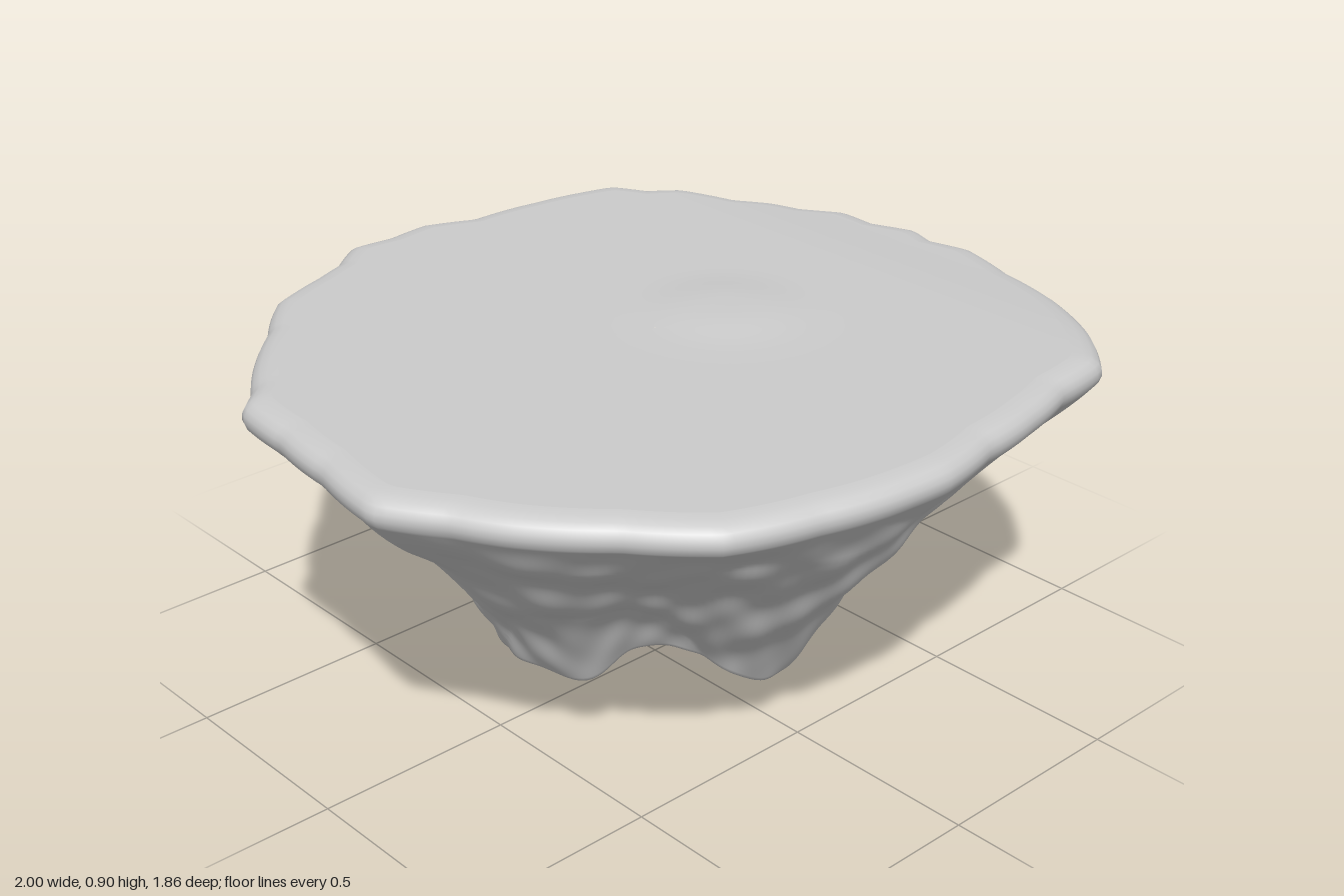
import * as THREE from 'three';

const COLS = 280;
const TAU = Math.PI * 2;

// Plan outline of the rim as x, z pairs, in order of rising angle
const OUTLINE = [
  [0.998, 0.13], [0.94, 0.3], [0.89, 0.48], [0.78, 0.67], [0.64, 0.81], [0.48, 0.83], [0.33, 0.87],
  [0.15, 0.895], [-0.02, 0.93], [-0.12, 0.925], [-0.35, 0.88], [-0.56, 0.81], [-0.7, 0.66], [-0.85, 0.49],
  [-0.91, 0.38], [-1, 0.24], [-0.97, 0.03], [-0.95, -0.15], [-0.935, -0.32], [-0.87, -0.38], [-0.76, -0.53],
  [-0.66, -0.63], [-0.55, -0.76], [-0.4, -0.82], [-0.3, -0.86], [-0.21, -0.93], [-0.1, -0.92], [0.02, -0.935],
  [0.15, -0.88], [0.35, -0.87], [0.5, -0.845], [0.59, -0.82], [0.64, -0.73], [0.72, -0.68], [0.78, -0.53],
  [0.85, -0.45], [0.88, -0.37], [0.955, -0.28], [0.95, -0.17], [0.998, -0.06], [0.97, 0.02],
].map(([x, z]) => ({ a: (Math.atan2(z, x) + TAU) % TAU, r: Math.hypot(x, z) })).sort((p, q) => p.a - q.a);

// Radius of the foot of the rock, every 30 degrees
const FOOT = [0.35, 0.37, 0.41, 0.46, 0.47, 0.49, 0.46, 0.4, 0.37, 0.35, 0.33, 0.33];

// Hanging lumps (+) and hollows (-): x, z, depth, width
const LOBES = [
  [0.29, 0.0, 0.2, 0.12], [-0.26, -0.09, 0.15, 0.12], [0.03, -0.25, 0.15, 0.16], [0.25, 0.2, 0.07, 0.13],
  [-0.02, 0.42, 0.04, 0.12], [0.1, 0.4, -0.06, 0.06], [-0.28, 0.32, -0.11, 0.13], [0, 0.05, 0.12, 0.13],
];

// Flat-topped bump
const bump = (x, z, cx, cz, w) => Math.exp(-((((x - cx) ** 2 + (z - cz) ** 2) / (w * w)) ** 1.5));
const smooth = (t) => t * t * (3 - 2 * t);

function rimRadius(a) {
  const n = OUTLINE.length;
  const i = Math.max(0, OUTLINE.findIndex((p) => p.a > a));
  const q = OUTLINE[i], p = OUTLINE[(i + n - 1) % n];
  const span = (q.a - p.a + TAU) % TAU;
  return THREE.MathUtils.lerp(p.r, q.r, ((a - p.a + TAU) % TAU) / span);
}

function footRadius(a) {
  const f = (a / TAU) * 12, i = Math.floor(f);
  return THREE.MathUtils.lerp(FOOT[i % 12], FOOT[(i + 1) % 12], smooth(f - i));
}

function underside(x, z) {
  let y = 0.2 + 0.012 * Math.sin(21 * x + 3) * Math.cos(19 * z);
  for (const [cx, cz, depth, w] of LOBES) y -= depth * bump(x, z, cx, cz, w);
  return Math.max(0, y);
}

// How far the wall caves in below the rim: deepest between the back and the left side
const hollow = (a) => 0.02 + 0.12 * Math.max(0, Math.cos(a + Math.PI / 4)) ** 3
  + 0.035 * Math.max(0, Math.cos(a - Math.PI * 1.2));

// Rugged relief: uneven ribs, wavy ledges and rounded lumps
function relief(a, t) {
  const ribs = 0.4 * Math.sin(7 * a + 1.2 * Math.sin(5 * t) + 1) + 0.25 * Math.sin(11 * a - 2 * t);
  const ledges = 0.4 * Math.sin(15 * t + 2 * Math.sin(2 * a) + 1.6 * Math.sin(5 * a + 1));
  const lumps = 0.35 * Math.sin(19 * a + 2 * Math.sin(3 * a)) * Math.sin(21 * t + 2 * Math.sin(4 * a));
  const crease = -0.6 * (1 - Math.abs(Math.sin(2.5 * t + Math.sin(3 * a) + 0.7))) ** 5;
  return 0.022 * (ribs + ledges + lumps + crease);
}

// Surface swept over rings; point(row, angle) returns [x, y, z]
function ringSurface(name, rows, point) {
  const pos = [], index = [];
  for (let i = 0; i <= rows; i++) {
    for (let j = 0; j < COLS; j++) pos.push(...point(i, (j / COLS) * TAU));
  }
  for (let i = 0; i < rows; i++) {
    for (let j = 0; j < COLS; j++) {
      const k = (j + 1) % COLS;
      const a = i * COLS + j, b = a + COLS, c = i * COLS + k, d = c + COLS;
      index.push(a, c, b, c, d, b);
    }
  }
  const geo = new THREE.BufferGeometry();
  geo.setAttribute('position', new THREE.Float32BufferAttribute(pos, 3));
  geo.setIndex(index);
  geo.computeVertexNormals();
  const mesh = new THREE.Mesh(geo, new THREE.MeshStandardMaterial({ color: 0xcccccc }));
  mesh.name = name;
  return mesh;
}

// Level top with a low mound, dipping slightly towards +x
const topHeight = (x, z) => 0.882 + 0.014 * bump(x, z, 0.2, 0.03, 0.17)
  - 0.02 * smooth(THREE.MathUtils.clamp((x - 0.6) / 0.4, 0, 1));

// Rounded rim, as [radius scale, drop]
const RIM = [[0.93, 0], [0.955, 0.002], [0.975, 0.008], [0.99, 0.018], [0.998, 0.032], [1, 0.047], [0.994, 0.064]];

export function createModel() {
  const group = new THREE.Group();
  group.name = 'floatingIsland';

  const TOP_ROWS = 30;
  group.add(ringSurface('top', TOP_ROWS, (i, a) => {
    const r = Math.max(0.001, (i / TOP_ROWS) * RIM[0][0] * rimRadius(a));
    const x = r * Math.cos(a), z = r * Math.sin(a);
    return [x, topHeight(x, z), z];
  }));

  // Rim, tapering rock wall, then the lumpy underside closing to the centre
  const EDGE = RIM.length - 1, WALL = 64, BASE = 32;
  group.add(ringSurface('rock', EDGE + WALL + BASE, (i, a) => {
    const c = Math.cos(a), s = Math.sin(a), rim = rimRadius(a);
    const [scale, drop] = RIM[Math.min(i, EDGE)];
    const edgeR = scale * rim;
    const edgeY = topHeight(edgeR * c, edgeR * s) - drop;
    if (i <= EDGE) return [edgeR * c, edgeY, edgeR * s];

    const endR = footRadius(a) + relief(a, 1) * 0.6;
    if (i > EDGE + WALL) {
      const r = Math.max(0.001, (1 - (i - EDGE - WALL) / BASE) * endR);
      return [r * c, underside(r * c, r * s), r * s];
    }
    const t = (i - EDGE) / WALL;
    const fade = Math.min(1, t * 5) * (1 - 0.4 * smooth(t));
    const r = THREE.MathUtils.lerp(edgeR, footRadius(a), t)
      - hollow(a) * Math.sin(Math.PI * t ** 1.3) + relief(a, t) * fade;
    return [r * c, THREE.MathUtils.lerp(edgeY, underside(endR * c, endR * s), t), r * s];
  }));
  return group;
}
